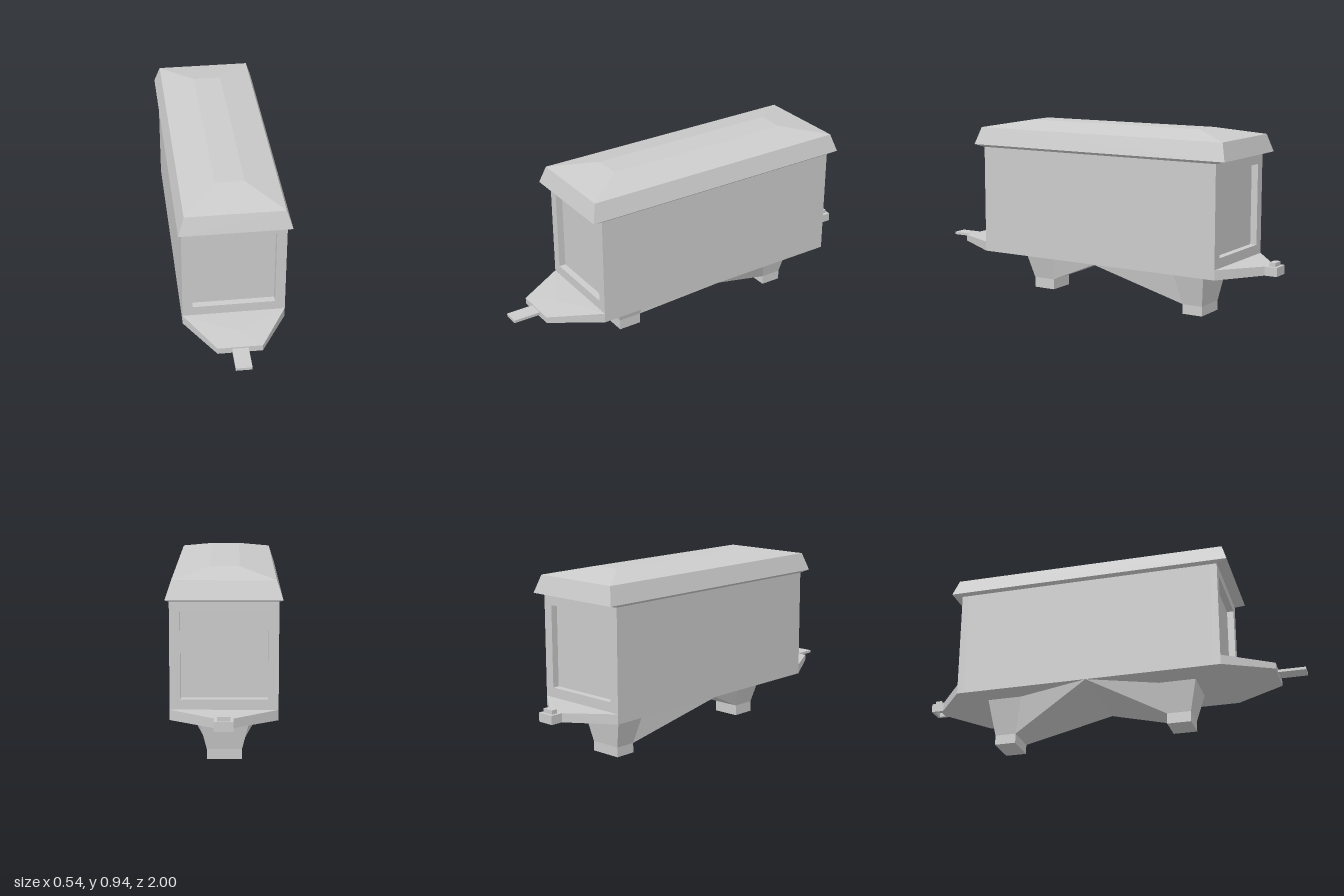
import * as THREE from 'three';
import { ConvexGeometry } from 'three/addons/geometries/ConvexGeometry.js';

const MID = -0.08; // z of the body's middle
const material = new THREE.MeshStandardMaterial({ color: 0xcccccc, flatShading: true });

export function createModel() {
  const model = new THREE.Group();

  const add = (name, geometry) => {
    const mesh = new THREE.Mesh(geometry, material);
    mesh.name = name;
    model.add(mesh);
    return mesh;
  };
  const box = (name, x, y0, y1, z0, z1) =>
    add(name, new THREE.BoxGeometry(2 * x, y1 - y0, z1 - z0)).position.set(0, (y0 + y1) / 2, (z0 + z1) / 2);
  // Convex solid from mirrored points: each [x, y, z] is used at +x and -x
  const hull = (name, points) =>
    add(name, new ConvexGeometry(points.flatMap(([x, y, z]) =>
      (x ? [1, -1] : [1]).map((s) => new THREE.Vector3(s * x, y, z)))));
  const rect = (Type, x, y0, y1) => new Type([
    new THREE.Vector2(-x, y0), new THREE.Vector2(x, y0), new THREE.Vector2(x, y1), new THREE.Vector2(-x, y1)]);
  const frame = (name, outer, inner, depth) => {
    const shape = rect(THREE.Shape, ...outer);
    shape.holes.push(rect(THREE.Path, ...inner));
    return add(name, new THREE.ExtrudeGeometry(shape, { depth, bevelEnabled: false }));
  };

  // Body with a recessed panel at each end
  const lip = 0.035;
  box('body', 0.255, 0.235, 0.8, -0.77 + lip, 0.61 - lip);
  for (const [name, z] of [['frontPanelFrame', 0.61 - lip], ['backPanelFrame', -0.77]])
    frame(name, [0.255, 0.235, 0.8], [0.205, 0.335, 0.75], lip).position.z = z;

  // Roof: four rectangular rings [half width, height, half length]
  const rings = [[0.255, 0.797, 0.69], [0.272, 0.81, 0.744], [0.242, 0.9, 0.717], [0.072, 0.938, 0.505]];
  hull('roof', rings.flatMap(([x, y, z]) => [[x, y, MID + z], [x, y, MID - z]]));

  // Front platform, slightly drooping at its nose, and the drawbar
  hull('frontPlatform', [
    [0.255, 0.285, 0.61], [0.255, 0.235, 0.61], [0, 0.285, 0.75], [0, 0.235, 0.75],
    [0.11, 0.275, 0.86], [0.11, 0.243, 0.86]]);
  box('drawbar', 0.04, 0.254, 0.268, 0.84, 1);

  // Rear platform, coupler block with a slot, and its pin
  hull('rearPlatform', [
    [0.255, 0.285, -0.77], [0.255, 0.235, -0.77], [0.045, 0.285, -0.935], [0.045, 0.24, -0.935]]);
  const coupler = frame('coupler', [0.045, 0.935, 1], [0.03, 0.952, 0.985], 0.045);
  coupler.rotation.x = -Math.PI / 2;
  coupler.position.y = 0.24;
  box('couplerPin', 0.03, 0.262, 0.305, -0.985, -0.952);

  // Hoppers: funnel, sloping chute up to the middle ridge, and square spout
  const top = 0.235;
  const hoppers = [
    { side: 'front', xTop: 0.112, zEnd: 0.455, zIn: 0.265, x: 0.073, y: 0.08, floor: 0.025, sEnd: 0.418, sIn: 0.295 },
    { side: 'rear', xTop: 0.13, zEnd: -0.645, zIn: -0.465, x: 0.085, y: 0.05, floor: 0, sEnd: -0.615, sIn: -0.505 },
  ];
  for (const h of hoppers) {
    const inner = [[h.xTop, top, h.zIn], [h.x, h.y, h.sIn]];
    hull(h.side + 'HopperFunnel', [...inner, [h.xTop, top, h.zEnd], [h.x, h.y, h.sEnd]]);
    hull(h.side + 'HopperChute', [...inner, [0.255, top, MID]]);
    box(h.side + 'HopperSpout', h.x, h.floor, h.y, Math.min(h.sEnd, h.sIn), Math.max(h.sEnd, h.sIn));
  }
  return model;
}
